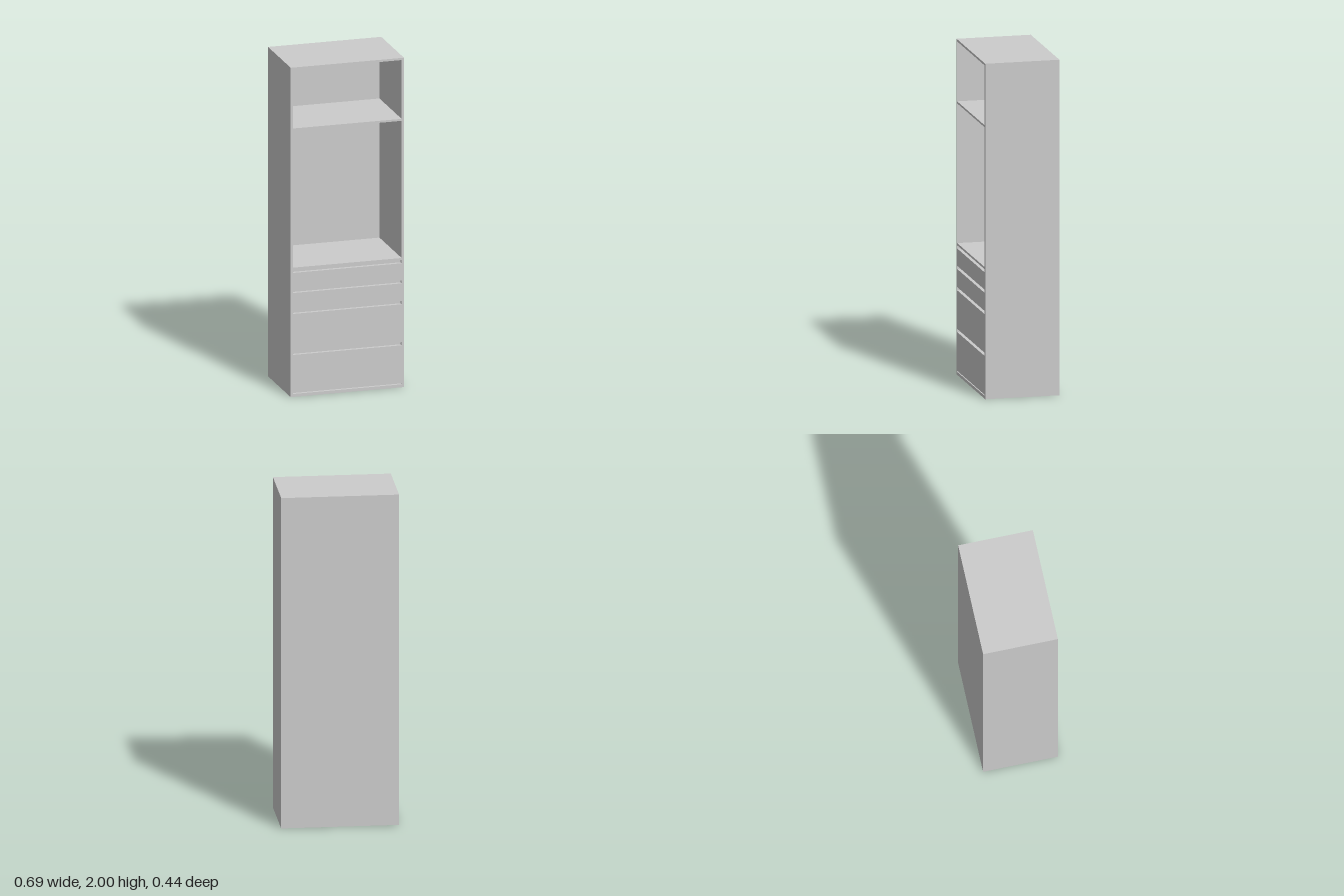
import * as THREE from 'three';

const W = 0.69, H = 2, D = 0.445;   // outer size
const T = 0.014;                    // board thickness
const FRONT = 0.022, BACK = 0.01;   // depth of front face and back panel
const INNER = W / 2 - T;            // half width of the openings

const material = new THREE.MeshStandardMaterial({ color: 0xcccccc });

export function createModel() {
  const group = new THREE.Group();
  group.name = 'cabinet';

  const add = (name, geometry) => {
    const mesh = new THREE.Mesh(geometry, material);
    mesh.name = name;
    group.add(mesh);
    return mesh;
  };
  // Board given by its two extreme corners
  const board = (name, x0, x1, y0, y1, z0, z1) =>
    add(name, new THREE.BoxGeometry(x1 - x0, y1 - y0, z1 - z0))
      .position.set((x0 + x1) / 2, (y0 + y1) / 2, (z0 + z1) / 2);

  const zBack = -D / 2, zInner = zBack + BACK, zFront = D / 2 - FRONT;

  // Carcass
  board('leftSide', INNER, W / 2, 0, H, zInner, zFront);
  board('rightSide', -W / 2, -INNER, 0, H, zInner, zFront);
  board('backPanel', -W / 2, W / 2, 0, H, zBack, zInner);
  board('topPanel', -INNER, INNER, 1.987, H, zInner, zFront);
  board('bottomPanel', -INNER, INNER, 0, T, zInner, zFront);

  // Shelves
  board('upperShelf', -INNER, INNER, 1.618, 1.63, zInner, zFront);
  board('lowerShelf', -INNER, INNER, 0.772, 0.785, zInner, zFront);

  // Drawer bodies behind the front face
  const levels = [0.018, 0.255, 0.504, 0.631, 0.753, 0.772];
  for (let i = 0; i < levels.length - 1; i++) {
    board('drawerBody', -INNER, INNER, levels[i], levels[i + 1], zInner, zFront);
  }

  // Flush front face with two open bays, four grip slots and the bottom gap
  const rect = (Path, x, y0, y1) => new Path([
    [-x, y0], [x, y0], [x, y1], [-x, y1],
  ].map(([px, py]) => new THREE.Vector2(px, py)));
  const face = rect(THREE.Shape, W / 2, 0, H);
  const openings = [
    [1.63, 1.987], [0.785, 1.618],
    [0.753, 0.772], [0.631, 0.65], [0.504, 0.523], [0.255, 0.274],
    [0.018, 0.024],
  ];
  for (const [y0, y1] of openings) face.holes.push(rect(THREE.Path, INNER, y0, y1));
  add('drawerFrontsAndFrame', new THREE.ExtrudeGeometry(face, { depth: FRONT, bevelEnabled: false }))
    .position.z = zFront;

  return group;
}
